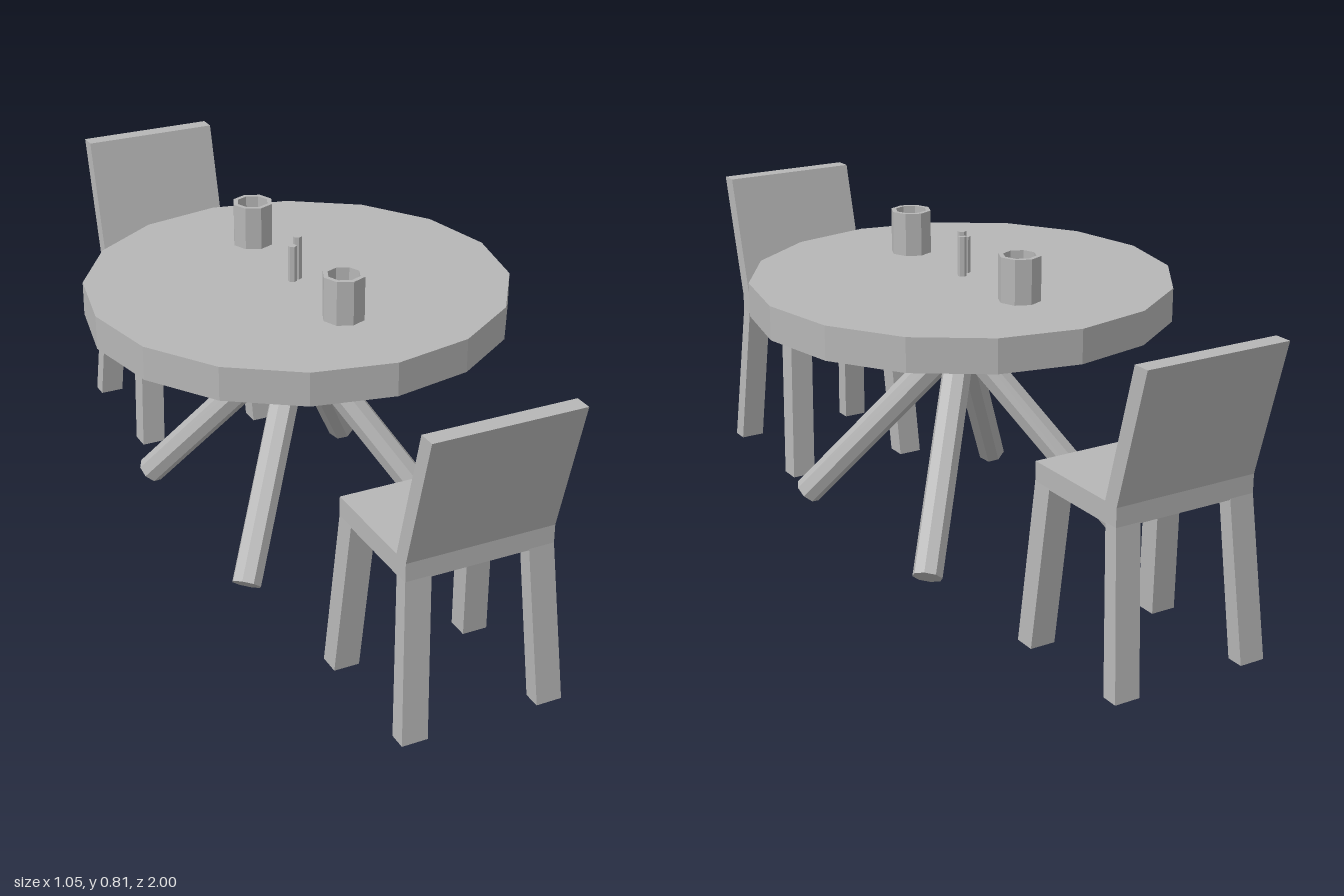
import * as THREE from 'three';

const grey = new THREE.MeshStandardMaterial({ color: 0xb6b6b6 });
grey.name = 'plain grey';

// Mesh with faceted normals
function part(name, geometry, parent) {
  const flat = geometry.index ? geometry.toNonIndexed() : geometry;
  flat.computeVertexNormals();
  const mesh = new THREE.Mesh(flat, grey);
  mesh.name = name;
  parent.add(mesh);
  return mesh;
}

// Slanted block: top and bottom are { x: [min, max], z: [min, max], y }
function slantedBlock(top, bottom) {
  const g = new THREE.BoxGeometry(1, 1, 1);
  const p = g.attributes.position;
  for (let i = 0; i < p.count; i++) {
    const end = p.getY(i) > 0 ? top : bottom;
    p.setXYZ(i, end.x[p.getX(i) > 0 ? 1 : 0], end.y, end.z[p.getZ(i) > 0 ? 1 : 0]);
  }
  return g;
}

// Chair standing on the +z side of the table, its back towards +z
function createChair(name) {
  const chair = new THREE.Group();
  chair.name = name;

  // Seat and leaning back share one side profile (z, y)
  const profile = new THREE.Shape([
    [0.607, 0.397], [0.911, 0.397], [0.911, 0.445], [1.0, 0.772],
    [0.957, 0.772], [0.87, 0.447], [0.607, 0.447],
  ].map(([z, y]) => new THREE.Vector2(z, y)));
  const seat = new THREE.ExtrudeGeometry(profile, { depth: 0.366, bevelEnabled: false });
  seat.translate(0, 0, -0.183);
  seat.rotateY(-Math.PI / 2);
  part('seatAndBack', seat, chair);

  // Splayed legs
  for (const side of [-1, 1]) {
    const span = (a, b) => (side > 0 ? [a, b] : [-b, -a]);
    const topX = span(0.12, 0.183);
    const bottomX = span(0.139, 0.203);
    const label = side > 0 ? 'Left' : 'Right';
    part('frontLeg' + label, slantedBlock(
      { x: topX, z: [0.607, 0.663], y: 0.4 },
      { x: bottomX, z: [0.575, 0.629], y: 0 }), chair);
    part('backLeg' + label, slantedBlock(
      { x: topX, z: [0.873, 0.911], y: 0.4 },
      { x: bottomX, z: [0.911, 0.954], y: 0.01 }), chair);
  }
  chair.position.x = -0.004;
  return chair;
}

function createTable() {
  const table = new THREE.Group();
  table.name = 'table';
  part('tableTop', new THREE.CylinderGeometry(0.524, 0.524, 0.084, 16), table)
    .position.y = 0.658;

  // Four poles crossing under the top
  const up = new THREE.Vector3(0, 1, 0);
  for (const sx of [-1, 1]) {
    for (const sz of [-1, 1]) {
      const foot = new THREE.Vector3(sx * 0.285, 0.072, sz * 0.312);
      const head = new THREE.Vector3(-sx * 0.068, 0.65, -sz * 0.074);
      const axis = head.clone().sub(foot);
      const leg = part('tableLeg',
        new THREE.CylinderGeometry(0.037, 0.037, axis.length(), 8), table);
      leg.position.copy(foot).add(head).multiplyScalar(0.5);
      leg.quaternion.setFromUnitVectors(up, axis.normalize());
    }
  }
  return table;
}

// Hollow eight-sided cup
function createCup() {
  const profile = [[0, 0], [0.052, 0], [0.052, 0.11], [0.04, 0.11], [0.04, 0.015], [0, 0.015]];
  return new THREE.LatheGeometry(profile.map(([r, y]) => new THREE.Vector2(r, y)), 8);
}

export function createModel() {
  const model = new THREE.Group();
  model.name = 'diningSet';
  model.add(createTable());

  model.add(createChair('frontChair'));
  const backChair = createChair('backChair');
  backChair.rotation.y = Math.PI;
  model.add(backChair);

  for (const z of [-0.258, 0.254]) {
    part('cup', createCup(), model).position.set(-0.002, 0.7, z);
  }

  // Small cluster of thin posts at the centre of the table
  const posts = [[-0.018, 0.01, 0.092], [0, 0, 0.11], [0.006, -0.012, 0.1]];
  for (const [x, z, h] of posts) {
    part('centrepiecePost', new THREE.CylinderGeometry(0.011, 0.011, h, 6), model)
      .position.set(x, 0.7 + h / 2, z);
  }
  return model;
}
